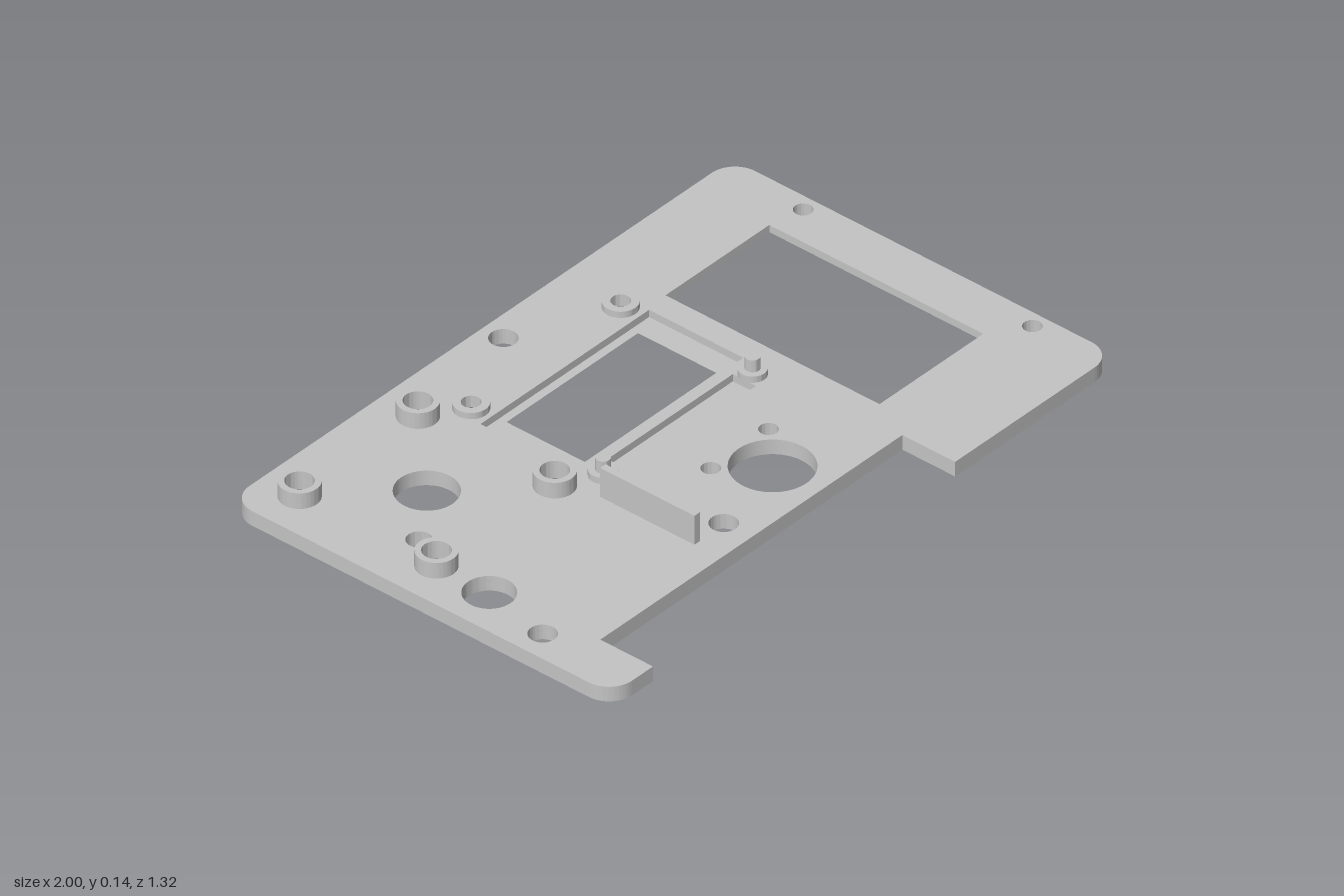
import * as THREE from 'three';
import { toCreasedNormals } from 'three/addons/utils/BufferGeometryUtils.js';

const FLOOR = 0.024, TOP = 0.047, CHAMFER = 0.025;

export function createModel() {
  const group = new THREE.Group();
  const grey = new THREE.MeshStandardMaterial({ color: 0xc4c4c4 });
  grey.name = 'grey plastic';

  const add = (name, geometry, x = 0, y = 0, z = 0) => {
    const mesh = new THREE.Mesh(geometry, grey);
    mesh.name = name;
    mesh.position.set(x, y, z);
    group.add(mesh);
  };

  // Plan helpers: shape y is -z
  const rect = ([x0, x1, z0, z1], grow = 0) => {
    const p = new THREE.Path();
    p.moveTo(x0 - grow, -z0 + grow).lineTo(x1 + grow, -z0 + grow);
    p.lineTo(x1 + grow, -z1 - grow).lineTo(x0 - grow, -z1 - grow).closePath();
    return p;
  };
  const circle = ([x, z, r]) => new THREE.Path().absarc(x, -z, r, 0, Math.PI * 2, true);

  // Plate outline with rounded outer corners and a front notch
  const outline = () => {
    const s = new THREE.Shape(), w = 1, d = 0.66, r = 0.08;
    s.moveTo(-0.837, -d).lineTo(-0.837, -0.478).lineTo(0.365, -0.478).lineTo(0.365, -d);
    s.lineTo(w - r, -d).absarc(w - r, -d + r, r, -Math.PI / 2, 0, false);
    s.lineTo(w, d - r).absarc(w - r, d - r, r, 0, Math.PI / 2, false);
    s.lineTo(-w + r, d).absarc(-w + r, d - r, r, Math.PI / 2, Math.PI, false);
    s.lineTo(-w, -d + r).absarc(-w + r, -d + r, r, Math.PI, Math.PI * 1.5, false);
    s.closePath();
    return s;
  };

  const holes = [
    [-0.633, -0.297, 0.089], [-0.81, -0.17, 0.036], [-0.868, 0.122, 0.073],
    [-0.915, 0.347, 0.04], [-0.235, 0.382, 0.04], [0.04, 0.312, 0.117],
    [-0.073, 0.197, 0.027], [0.157, 0.197, 0.027], [0.01, -0.59, 0.04],
    [0.953, -0.373, 0.027], [0.953, 0.417, 0.027],
  ];
  const bosses = [[-0.868, -0.532], [-0.397, -0.532], [-0.868, -0.06], [-0.397, -0.06]];
  const rings = [[-0.28, -0.45], [0.315, -0.45]];
  const pegs = [[-0.28, 0.005], [0.315, 0.005]];
  const sideWindow = [0.43, 0.843, -0.395, 0.343];
  const displayWindow = [-0.243, 0.28, -0.36, -0.09];
  const displayRecess = [-0.318, 0.353, -0.385, -0.06];
  const slot = [-0.243, 0.28, -0.033, 0.047];

  const layer = (depth, cuts) => {
    const s = outline();
    s.holes = [
      ...holes.map(circle),
      ...bosses.map(([x, z]) => circle([x, z, 0.075])),
      ...rings.map(([x, z]) => circle([x, z, 0.045])),
      ...cuts,
    ];
    return new THREE.ExtrudeGeometry(s, { depth, bevelEnabled: false, curveSegments: 32 }).rotateX(-Math.PI / 2);
  };

  // Lower layer: window walls widen downwards, so their top corners are pulled in
  const lower = layer(FLOOR, [rect(sideWindow, CHAMFER), rect(displayWindow, CHAMFER)]);
  const pos = lower.attributes.position;
  const near = (a, b) => Math.abs(a - b) < 1e-4;
  for (let i = 0; i < pos.count; i++) {
    if (!near(pos.getY(i), FLOOR)) continue;
    const x = pos.getX(i), z = pos.getZ(i);
    for (const [x0, x1, z0, z1] of [sideWindow, displayWindow]) {
      const sx = near(x, x0 - CHAMFER) ? 1 : near(x, x1 + CHAMFER) ? -1 : 0;
      const sz = near(z, z0 - CHAMFER) ? 1 : near(z, z1 + CHAMFER) ? -1 : 0;
      if (sx && sz) pos.setXYZ(i, x + sx * CHAMFER, FLOOR, z + sz * CHAMFER);
    }
  }
  add('lowerPlate', toCreasedNormals(lower, 0.6));

  // Upper layer: display recess and slot
  const upper = layer(TOP - FLOOR, [rect(sideWindow), rect(displayRecess), rect(slot)]);
  add('upperPlate', toCreasedNormals(upper, 0.6), 0, FLOOR, 0);

  const lathe = (points) => toCreasedNormals(
    new THREE.LatheGeometry(points.map(([r, y]) => new THREE.Vector2(r, y)), 64).toNonIndexed(), 0.5);

  // Tall screw bosses, countersunk from below
  for (const [x, z] of bosses) {
    add('screwBoss', lathe([[0.075, TOP], [0.058, TOP], [0.058, 0.097], [0.04, 0.097], [0.04, 0.04], [0.075, 0]]), x, 0, z);
  }

  // Low display rings, countersunk from below
  for (const [x, z] of rings) {
    add('displayRing', lathe([[0.05, TOP], [0.05, 0.067], [0.027, 0.067], [0.027, 0.03], [0.045, 0]]), x, 0, z);
  }

  // Stepped locating pegs
  for (const [x, z] of pegs) {
    add('locatingPeg', lathe([[0.04, TOP], [0.04, 0.067], [0.021, 0.067], [0.021, 0.105], [0, 0.105]]), x, 0, z);
  }

  // Upright divider
  add('dividerWall', new THREE.BoxGeometry(0.022, 0.095, 0.325), -0.347, 0.0925, 0.225);

  return group;
}
